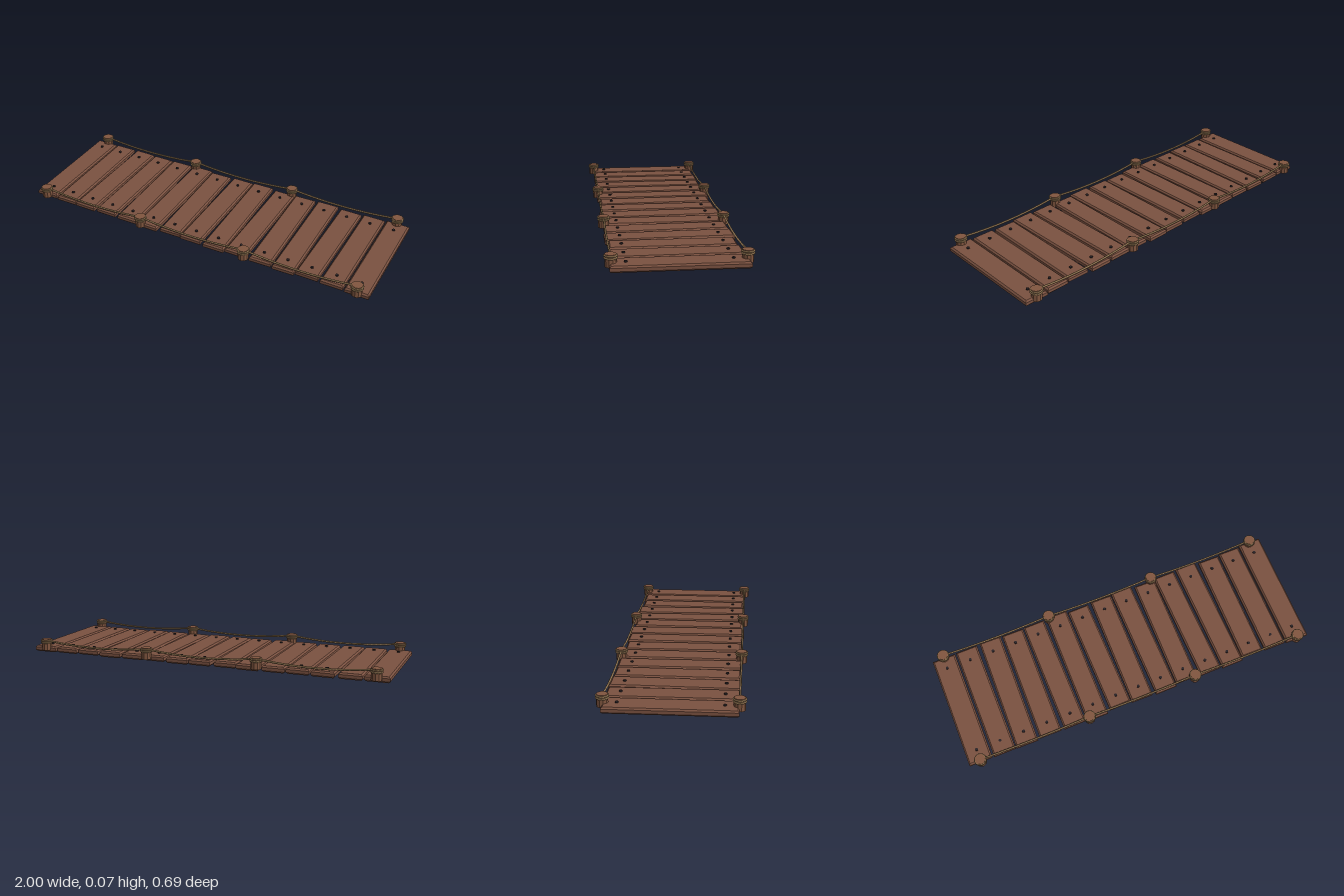
import * as THREE from 'three';

const mat = (name, color) => {
  const m = new THREE.MeshStandardMaterial({ color });
  m.name = name;
  return m;
};

// Plank lying flat, bottom at y = 0, with chamfered edges
function plankGeometry(w, h, l, b) {
  const x = w / 2 - b, z = l / 2 - b;
  const shape = new THREE.Shape();
  shape.moveTo(-x, -z).lineTo(x, -z).lineTo(x, z).lineTo(-x, z).closePath();
  const g = new THREE.ExtrudeGeometry(shape, {
    depth: h - 2 * b, bevelEnabled: true, bevelSize: b, bevelThickness: b, bevelSegments: 1,
  });
  return g.rotateX(-Math.PI / 2).translate(0, b, 0);
}

export function createModel() {
  const root = new THREE.Group();
  root.name = 'plankWalkway';
  const wood = mat('plank brown', 0x7a5140);
  const postWood = mat('post brown', 0x80563f);
  const rope = mat('rope tan', 0x8f7350);
  const iron = mat('nail dark', 0x2a2326);

  const add = (parent, name, geo, material, x = 0, y = 0, z = 0) => {
    const m = new THREE.Mesh(geo, material);
    m.name = name;
    m.position.set(x, y, z);
    parent.add(m);
    return m;
  };

  // Planks with slightly uneven angles and lengths, two nails each
  const yaw = [0, 0.004, -0.017, -0.01, 0.008, -0.006, 0.012, -0.012, 0.01, -0.014, 0.016, 0.01, -0.014, -0.008, -0.008];
  const nailGeo = new THREE.CylinderGeometry(0.008, 0.008, 0.012, 8);
  yaw.forEach((angle, i) => {
    const plank = new THREE.Group();
    plank.name = 'plank' + (i + 1);
    plank.position.x = (i - 7) * 0.1333;
    const length = 0.632 + 0.012 * ((i * 7) % 3 - 1) * (i > 4 ? 1 : 0.4);
    const width = i === 0 || i === 14 ? 0.128 : 0.122;
    const board = add(plank, 'board', plankGeometry(width, 0.032, length, 0.008), wood);
    board.rotation.y = angle;
    for (const s of [1, -1]) add(plank, 'nail', nailGeo, iron, 0, 0.032, s * 0.247);
    root.add(plank);
  });

  // Posts with two rope wraps, joined by sagging ropes on both sides
  const postX = [-0.93, -0.31, 0.31, 0.93];
  const postGeo = new THREE.CylinderGeometry(0.028, 0.028, 0.061, 10).toNonIndexed();
  postGeo.computeVertexNormals();
  const wrapGeo = new THREE.TorusGeometry(0.0285, 0.0048, 6, 16).rotateX(Math.PI / 2);
  for (const s of [1, -1]) {
    const side = new THREE.Group();
    side.name = s > 0 ? 'frontRail' : 'backRail';
    side.position.z = s * 0.314;
    postX.forEach((x, i) => {
      add(side, 'post', postGeo, postWood, x, 0.0425, 0);
      for (const y of [0.055, 0.066]) add(side, 'ropeWrap', wrapGeo, rope, x, y, 0);
      if (i === postX.length - 1) return;
      const points = [];
      for (let k = 0; k <= 8; k++) {
        const t = k / 8;
        points.push(new THREE.Vector3(x + 0.62 * t, 0.065 - 0.084 * t * (1 - t), 0));
      }
      const curve = new THREE.CatmullRomCurve3(points);
      add(side, 'rope', new THREE.TubeGeometry(curve, 24, 0.0055, 6), rope);
    });
    root.add(side);
  }
  return root;
}
